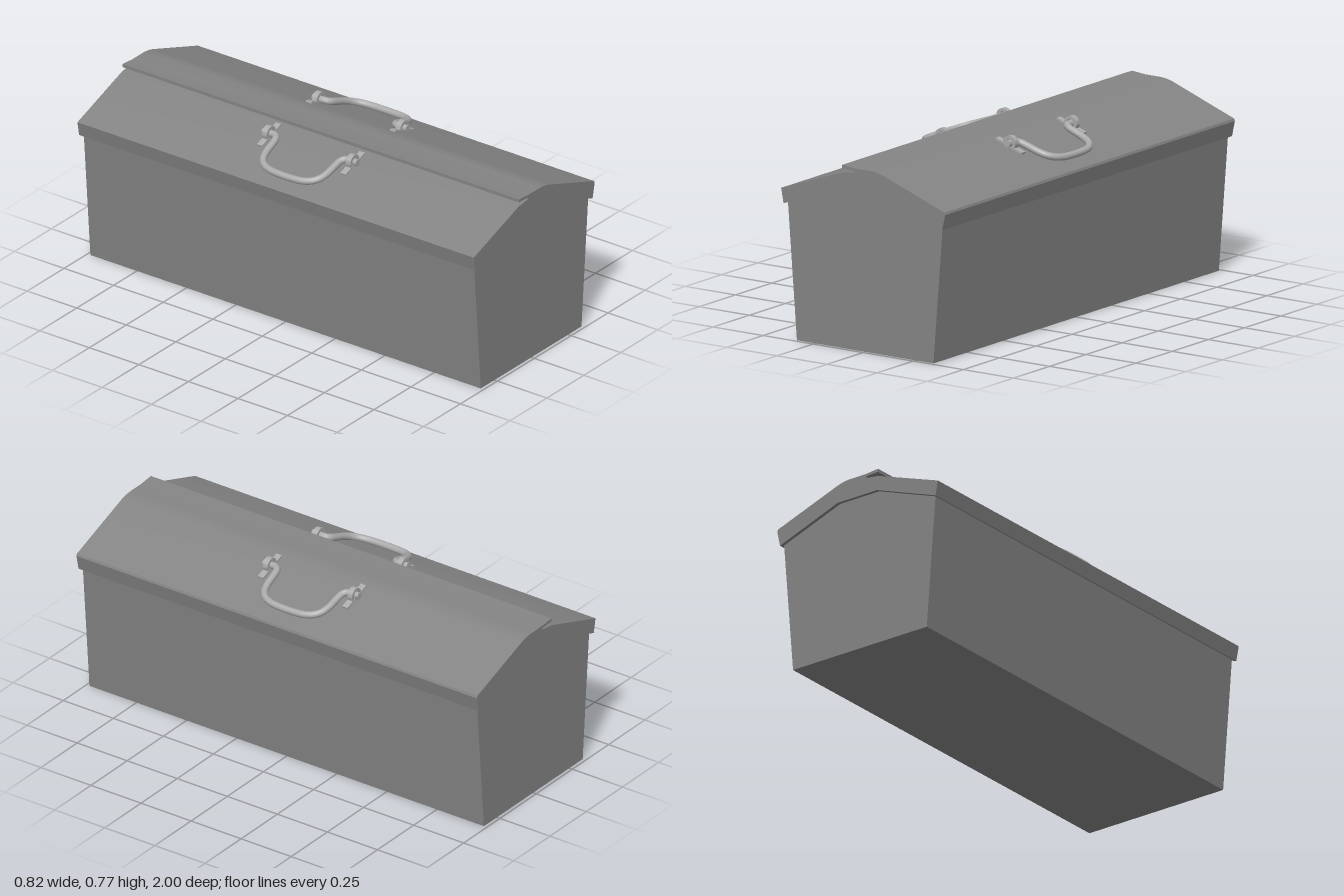
import * as THREE from 'three';
import { toCreasedNormals } from 'three/addons/utils/BufferGeometryUtils.js';

const boxGrey = new THREE.MeshStandardMaterial({ color: 0x848484 });
const handleGrey = new THREE.MeshStandardMaterial({ color: 0xaaaaaa });

function part(name, geometry, material, parent) {
  const mesh = new THREE.Mesh(geometry, material);
  mesh.name = name;
  parent.add(mesh);
  return mesh;
}

// Extrude a closed x/y shape to a length centred on z
function prism(shape, length) {
  const g = new THREE.ExtrudeGeometry(shape, { depth: length, bevelEnabled: false, curveSegments: 12 });
  g.translate(0, 0, -length / 2);
  return toCreasedNormals(g, 0.45);
}

const polygon = (pts) => new THREE.Shape(pts.map(([x, y]) => new THREE.Vector2(x, y)));

// Folding handle with its two brackets; the origin is the hinge axis, +x runs down the lid slope
function createHandle(name) {
  const handle = new THREE.Group();
  handle.name = name;

  // Half of the bail, mirrored across z = 0
  const half = [
    [0, 0.236], [0, 0.2], [0.003, 0.177], [0.018, 0.164], [0.05, 0.159],
    [0.1, 0.155], [0.138, 0.143], [0.164, 0.118], [0.178, 0.083], [0.183, 0.04],
  ];
  const path = [...half, ...half.map(([x, z]) => [x, -z]).reverse()]
    .map(([x, z]) => new THREE.Vector3(x, 0, z));
  const curve = new THREE.CatmullRomCurve3(path, false, 'centripetal');
  part('bail', new THREE.TubeGeometry(curve, 96, 0.015, 14), handleGrey, handle);

  for (const s of [1, -1]) {
    // Mounting plate
    part('bracketPlate', new THREE.BoxGeometry(0.138, 0.008, 0.027), handleGrey, handle)
      .position.set(0.002, -0.011, s * 0.211);

    // Arched knuckle with a bore for the rod
    const arch = new THREE.Shape();
    arch.moveTo(-0.031, -0.012);
    arch.lineTo(-0.012, -0.022);
    arch.lineTo(0.012, -0.022);
    arch.lineTo(0.031, -0.012);
    arch.lineTo(0.031, 0);
    arch.absarc(0, 0, 0.031, 0, Math.PI, false);
    arch.closePath();
    arch.holes.push(new THREE.Path().absarc(0, 0, 0.0175, 0, Math.PI * 2, true));
    part('bracketKnuckle', prism(arch, 0.024), handleGrey, handle).position.z = s * 0.211;

    // Closed rod end
    const end = new THREE.CylinderGeometry(0.015, 0.015, 0.004, 14);
    end.rotateX(Math.PI / 2);
    part('rodEnd', end, handleGrey, handle).position.z = s * 0.236;
  }
  return handle;
}

export function createModel() {
  const box = new THREE.Group();
  box.name = 'toolbox';

  // Tapered body, its gabled top tucked just inside the lid
  part('body', prism(polygon([
    [-0.342, 0], [0.34, 0], [0.386, 0.575], [0.1, 0.68], [-0.1, 0.68], [-0.387, 0.575],
  ]), 1.97), boxGrey, box);

  // Lid: right half wraps over the crown and ends in a lip above the left half
  const lid = polygon([
    [-0.398, 0.565], [-0.1, 0.673], [0.1, 0.673], [0.395, 0.565],
    [0.409, 0.63], [0.405, 0.64], [0.1, 0.75],
  ]);
  lid.quadraticCurveTo(0.072, 0.759, 0.04, 0.761);
  for (const [x, y] of [
    [-0.04, 0.761], [-0.105, 0.767], [-0.105, 0.753], [-0.043, 0.75],
    [-0.043, 0.743], [-0.105, 0.735], [-0.41, 0.628],
  ]) lid.lineTo(x, y);
  lid.closePath();
  part('lid', prism(lid, 2), boxGrey, box);

  // One folding handle on each slope
  const slope = THREE.MathUtils.degToRad(-19.5);
  for (const [name, x, y, turn] of [
    ['leftHandle', 0.166, 0.742, 0],
    ['rightHandle', -0.172, 0.726, Math.PI],
  ]) {
    const handle = createHandle(name);
    handle.position.set(x, y, 0);
    handle.rotation.set(0, turn, slope);
    box.add(handle);
  }
  return box;
}
